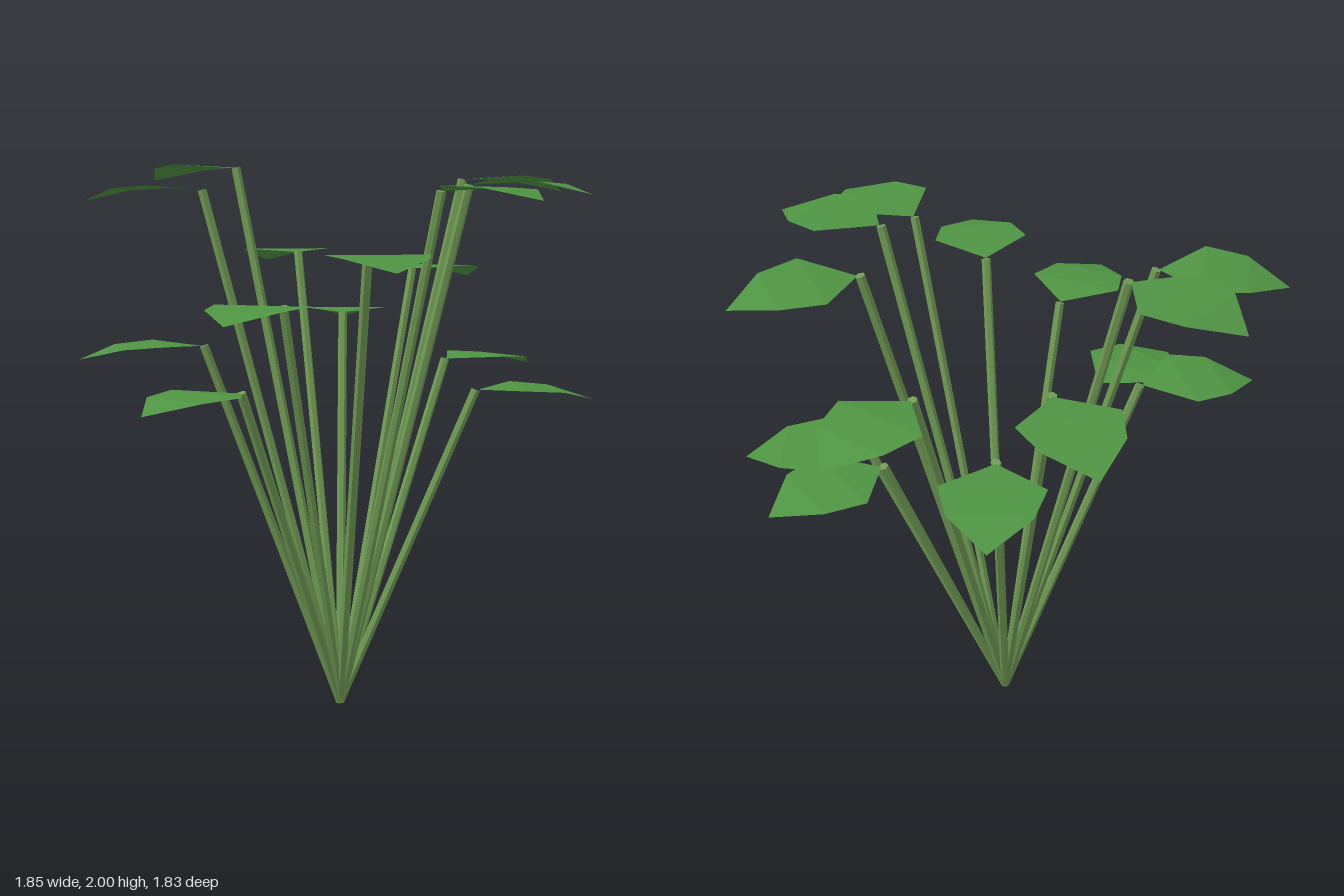
import * as THREE from 'three';

const LEAF_RADIUS = 0.505; // distance from the root axis to every stalk tip

// [angle around the plant in degrees (0 = +x, 90 = +z), stalk tip height]
const STALKS = [
  [0, 1.942], [20.6, 1.18], [53, 1.91], [72.3, 1.885], [104.2, 1.67],
  [136.5, 1.51], [156.6, 1.215], [-171, 1.355], [-150.6, 1.9],
  [-117.6, 1.988], [-84.8, 1.672], [-64.3, 1.435], [-31.2, 1.61], [-11.5, 1.27],
];

// Six-sided leaf along +x, bent downwards towards its tip
function leafGeometry() {
  // [distance outwards, height, half width]
  const [base, wide, narrow, tip] = [
    [0, 0, 0], [0.15, 0.012, 0.172], [0.29, 0.002, 0.135], [0.427, -0.038, 0],
  ];
  const at = ([x, y, w], side) => [x, y, w * side];
  const points = [
    at(base, 0), at(wide, -1), at(wide, 1), at(narrow, -1), at(narrow, 1), at(tip, 0),
  ];
  const geometry = new THREE.BufferGeometry();
  geometry.setAttribute('position', new THREE.Float32BufferAttribute(points.flat(), 3));
  geometry.setIndex([0, 2, 1, 1, 2, 4, 1, 4, 3, 3, 4, 5]);
  const flat = geometry.toNonIndexed();
  flat.computeVertexNormals();
  return flat;
}

export function createModel() {
  const plant = new THREE.Group();
  plant.name = 'plant';

  const leafGreen = new THREE.MeshStandardMaterial({
    color: 0x4f9443, flatShading: true, side: THREE.DoubleSide,
  });
  leafGreen.name = 'leaf green';
  const stalkGreen = new THREE.MeshStandardMaterial({ color: 0x6f9a54, flatShading: true });
  stalkGreen.name = 'stalk green';

  const leafShape = leafGeometry();
  const up = new THREE.Vector3(0, 1, 0);
  const root = new THREE.Vector3(0, 0.006, 0);

  STALKS.forEach(([degrees, height], i) => {
    const frond = new THREE.Group();
    frond.name = `frond${i + 1}`;

    // Straight stalk leaning outwards from the shared root
    const tip = new THREE.Vector3(LEAF_RADIUS - 0.008, height, 0);
    const direction = tip.clone().sub(root);
    const length = direction.length();
    const stalk = new THREE.Mesh(
      new THREE.CylinderGeometry(0.017, 0.017, length, 6), stalkGreen);
    stalk.name = 'stalk';
    stalk.position.copy(root).add(tip).multiplyScalar(0.5);
    stalk.quaternion.setFromUnitVectors(up, direction.normalize());

    // Leaf at the stalk tip
    const leaf = new THREE.Mesh(leafShape, leafGreen);
    leaf.name = 'leaf';
    leaf.position.set(LEAF_RADIUS, height, 0);

    frond.add(stalk, leaf);
    frond.position.set(-0.008, 0, 0.004);
    frond.rotation.y = -THREE.MathUtils.degToRad(degrees);
    plant.add(frond);
  });

  return plant;
}
